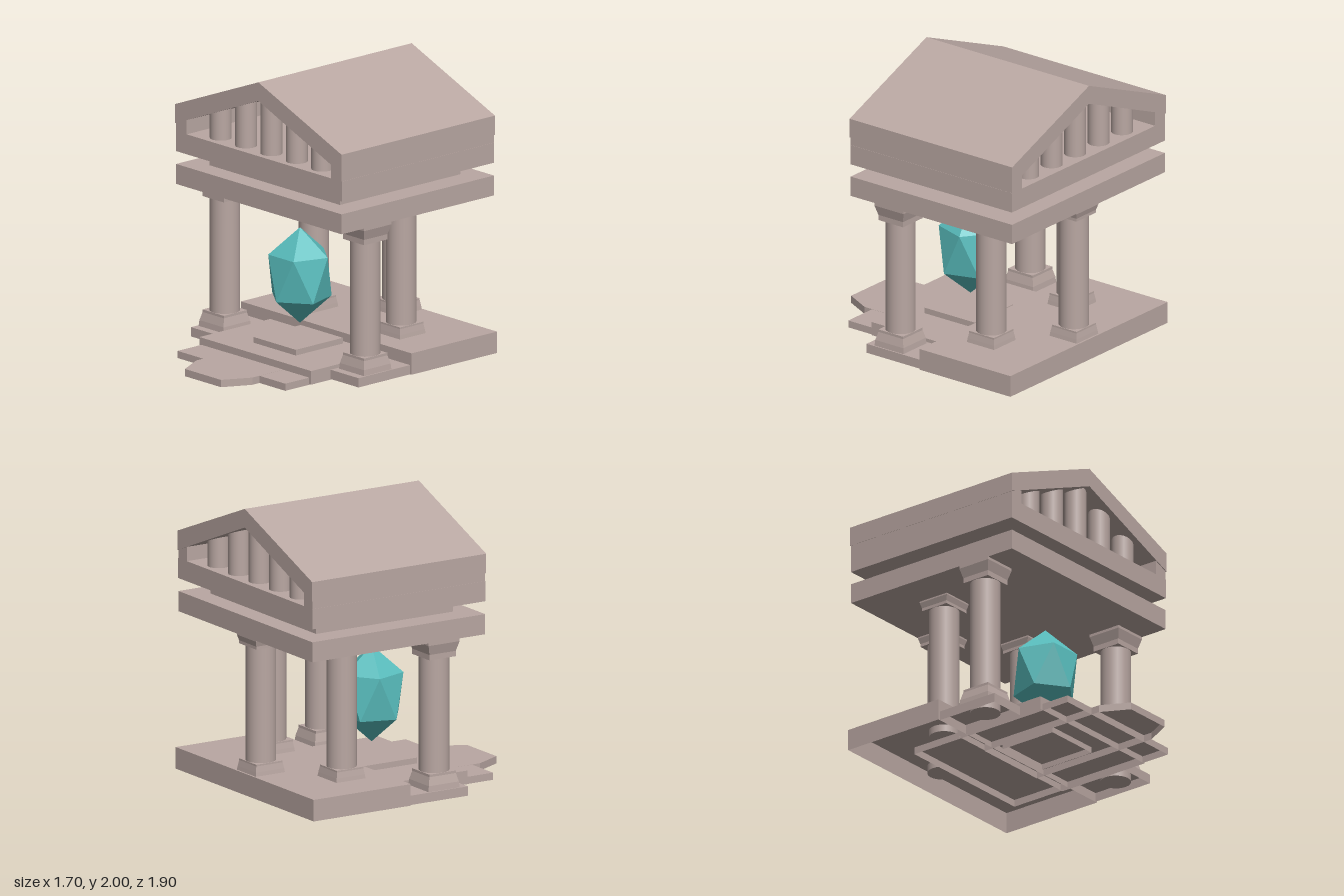
import * as THREE from 'three';

const stone = new THREE.MeshStandardMaterial({ color: 0xb9a7a2, side: THREE.DoubleSide });
stone.name = 'stone';
const crystalTeal = new THREE.MeshStandardMaterial({ color: 0x58bcbc });
crystalTeal.name = 'crystalTeal';

function add(parent, name, geometry, material = stone) {
  const mesh = new THREE.Mesh(geometry, material);
  mesh.name = name;
  parent.add(mesh);
  return mesh;
}

// Box given by its extents; a hollow one has no underside
function block(parent, name, [x0, x1], [y0, y1], [z0, z1], hollow = false) {
  const geo = new THREE.BoxGeometry(x1 - x0, y1 - y0, z1 - z0);
  if (hollow) {
    const index = Array.from(geo.index.array);
    index.splice(18, 6); // the -y face
    geo.setIndex(index);
    geo.clearGroups();
  }
  geo.translate((x0 + x1) / 2, (y0 + y1) / 2, (z0 + z1) / 2);
  return add(parent, name, geo);
}

// Plan outline (x, z) raised into walls and a top, open underneath
function openPlate(parent, name, outline, y0, y1) {
  const pos = [];
  outline.forEach(([ax, az], i) => {
    const [bx, bz] = outline[(i + 1) % outline.length];
    pos.push(ax, y0, az, bx, y0, bz, bx, y1, bz, ax, y0, az, bx, y1, bz, ax, y1, az);
    if (i > 0 && i < outline.length - 1) {
      pos.push(outline[0][0], y1, outline[0][1], ax, y1, az, bx, y1, bz);
    }
  });
  const geo = new THREE.BufferGeometry();
  geo.setAttribute('position', new THREE.Float32BufferAttribute(pos, 3));
  geo.computeVertexNormals();
  return add(parent, name, geo);
}

// Square block with a stepped profile of [half width, height] points
function squareProfile(parent, name, profile) {
  const points = profile.map(([half, y]) => new THREE.Vector2(half * Math.SQRT2, y));
  const geo = new THREE.LatheGeometry(points, 4).rotateY(Math.PI / 4).toNonIndexed();
  geo.computeVertexNormals();
  return add(parent, name, geo);
}

// Column with a flared square base and capital
function column(parent, x, z, floor, baseTop, capitalBottom, flare) {
  const group = new THREE.Group();
  group.name = 'column';
  group.position.set(x, 0, z);
  const top = 1.115;
  const bottom = floor - 0.05;
  const shaft = new THREE.CylinderGeometry(0.103, 0.103, top - bottom, 24);
  add(group, 'shaft', shaft.translate(0, (top + bottom) / 2, 0));
  const rise = baseTop - floor;
  squareProfile(group, 'columnBase', [
    [flare, floor], [flare - 0.004, floor + rise * 0.35],
    [0.106, floor + rise * 0.85], [0.106, baseTop], [0, baseTop],
  ]);
  const drop = 1.11 - capitalBottom;
  squareProfile(group, 'capital', [
    [0, capitalBottom], [0.106, capitalBottom], [0.106, capitalBottom + drop * 0.3],
    [flare, 1.11 - drop * 0.15], [flare, 1.11],
  ]);
  parent.add(group);
}

// Ten-sided-belt crystal: two offset rings of five points with two tips
function crystalGeometry() {
  const r = 0.215;
  const ring = (y, turn) => Array.from({ length: 5 }, (_, i) => {
    const a = turn + (i * Math.PI * 2) / 5;
    return [r * Math.sin(a), y, r * Math.cos(a)];
  });
  const low = ring(0.425, 0);
  const high = ring(0.725, Math.PI / 5);
  const pos = [];
  for (let i = 0; i < 5; i++) {
    const j = (i + 1) % 5;
    pos.push(...low[i], ...low[j], ...high[i]);
    pos.push(...low[j], ...high[j], ...high[i]);
    pos.push(...high[i], ...high[j], 0, 0.91, 0);
    pos.push(...low[j], ...low[i], 0, 0.24, 0);
  }
  const geo = new THREE.BufferGeometry();
  geo.setAttribute('position', new THREE.Float32BufferAttribute(pos, 3));
  geo.computeVertexNormals();
  return geo;
}

export function createModel() {
  const model = new THREE.Group();
  model.name = 'shrine';

  // Floor and steps
  block(model, 'rearPlatform', [-0.85, 0.85], [0.01, 0.16], [-0.95, -0.17], true);
  block(model, 'lowerStep', [-0.537, 0.537], [0, 0.05], [-0.63, 0.695], true);
  openPlate(model, 'entryTongue', [
    [-0.28, -0.23], [-0.28, 0.76], [-0.18, 0.955], [0.18, 0.955], [0.28, 0.76], [0.28, -0.23],
  ], 0, 0.051);
  block(model, 'upperStep', [-0.557, 0.557], [0.005, 0.1], [-0.23, 0.477], true);
  block(model, 'pedestal', [-0.21, 0.21], [0.01, 0.14], [-0.13, 0.3], true);
  for (const side of [-1, 1]) {
    const x = [0.555 * side, 0.835 * side].sort((a, b) => a - b);
    block(model, 'sidePlinth', x, [0.01, 0.075], [-0.17, 0.3], true);
  }

  // Five columns in an arc
  for (const side of [-1, 1]) {
    column(model, 0.7 * side, 0.115, 0.075, 0.19, 0.985, 0.125);
    column(model, 0.435 * side, -0.455, 0.16, 0.24, 1.04, 0.117);
  }
  column(model, 0, -0.82, 0.16, 0.24, 1.04, 0.117);

  // Entablature
  block(model, 'lowerBeam', [-0.825, 0.825], [1.11, 1.25], [-0.945, 0.445]);
  block(model, 'recessedBeam', [-0.65, 0.65], [1.25, 1.34], [-0.8, 0.3]);
  block(model, 'upperBeam', [-0.827, 0.827], [1.34, 1.48], [-0.945, 0.445]);
  for (const side of [-1, 1]) {
    const x = [0.72 * side, 0.825 * side].sort((a, b) => a - b);
    block(model, 'roofCurb', x, [1.48, 1.6], [-0.945, 0.445]);
  }

  // Gable posts, front and back
  for (const z of [0.33, -0.83]) {
    for (let i = -2; i <= 2; i++) {
      const x = i * 0.253;
      const height = 1.92 - 0.403 * Math.abs(x) - 1.48;
      const post = add(model, 'gablePost', new THREE.CylinderGeometry(0.074, 0.074, height, 24));
      post.position.set(x, 1.48 + height / 2, z);
    }
  }

  // Folded roof slab
  const roof = new THREE.Shape([
    [-0.83, 1.535], [0, 1.87], [0.83, 1.535], [0.83, 1.67], [0, 2], [-0.83, 1.67],
  ].map(([x, y]) => new THREE.Vector2(x, y)));
  const roofGeo = new THREE.ExtrudeGeometry(roof, { depth: 1.4, bevelEnabled: false });
  add(model, 'roof', roofGeo.translate(0, 0, -0.95));

  // Floating crystal
  add(model, 'crystal', crystalGeometry(), crystalTeal).position.z = 0.07;

  return model;
}
